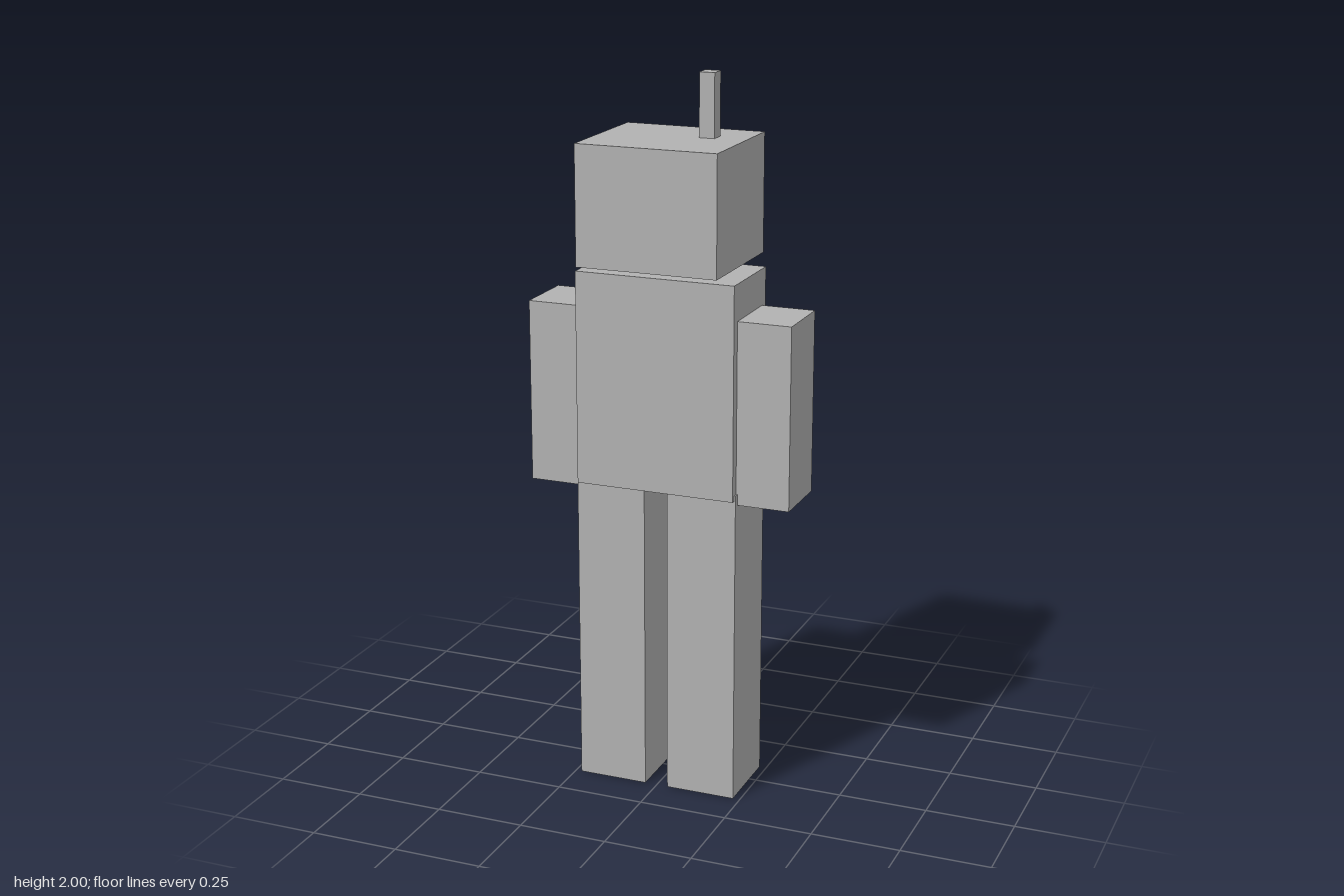
import * as THREE from 'three';

export function createModel() {
  const model = new THREE.Group();
  const grey = new THREE.MeshStandardMaterial({ color: 0xb2b2b2 });
  grey.name = 'grey';

  // Box given by its extents along each axis
  function block(name, [x0, x1], [y0, y1], [z0, z1]) {
    const mesh = new THREE.Mesh(new THREE.BoxGeometry(x1 - x0, y1 - y0, z1 - z0), grey);
    mesh.name = name;
    mesh.position.set((x0 + x1) / 2, (y0 + y1) / 2, (z0 + z1) / 2);
    model.add(mesh);
  }

  // Head with its off-centre antenna
  block('head', [-0.2, 0.198], [1.498, 1.827], [-0.153, 0.2]);
  block('antenna', [0.07, 0.113], [1.827, 2], [-0.044, 0]);

  // Body and the pack on its back
  block('torso', [-0.228, 0.226], [0.878, 1.473], [-0.097, 0.144]);
  block('backpack', [-0.156, 0.154], [1.02, 1.413], [-0.203, -0.097]);

  // Arms
  block('leftArm', [0.226, 0.376], [0.863, 1.372], [-0.07, 0.118]);
  block('rightArm', [-0.378, -0.228], [0.863, 1.372], [-0.07, 0.118]);

  // Legs, reaching slightly into the torso
  block('leftLeg', [0.032, 0.23], [0, 0.894], [-0.086, 0.133]);
  block('rightLeg', [-0.233, -0.035], [0, 0.894], [-0.086, 0.133]);

  return model;
}
